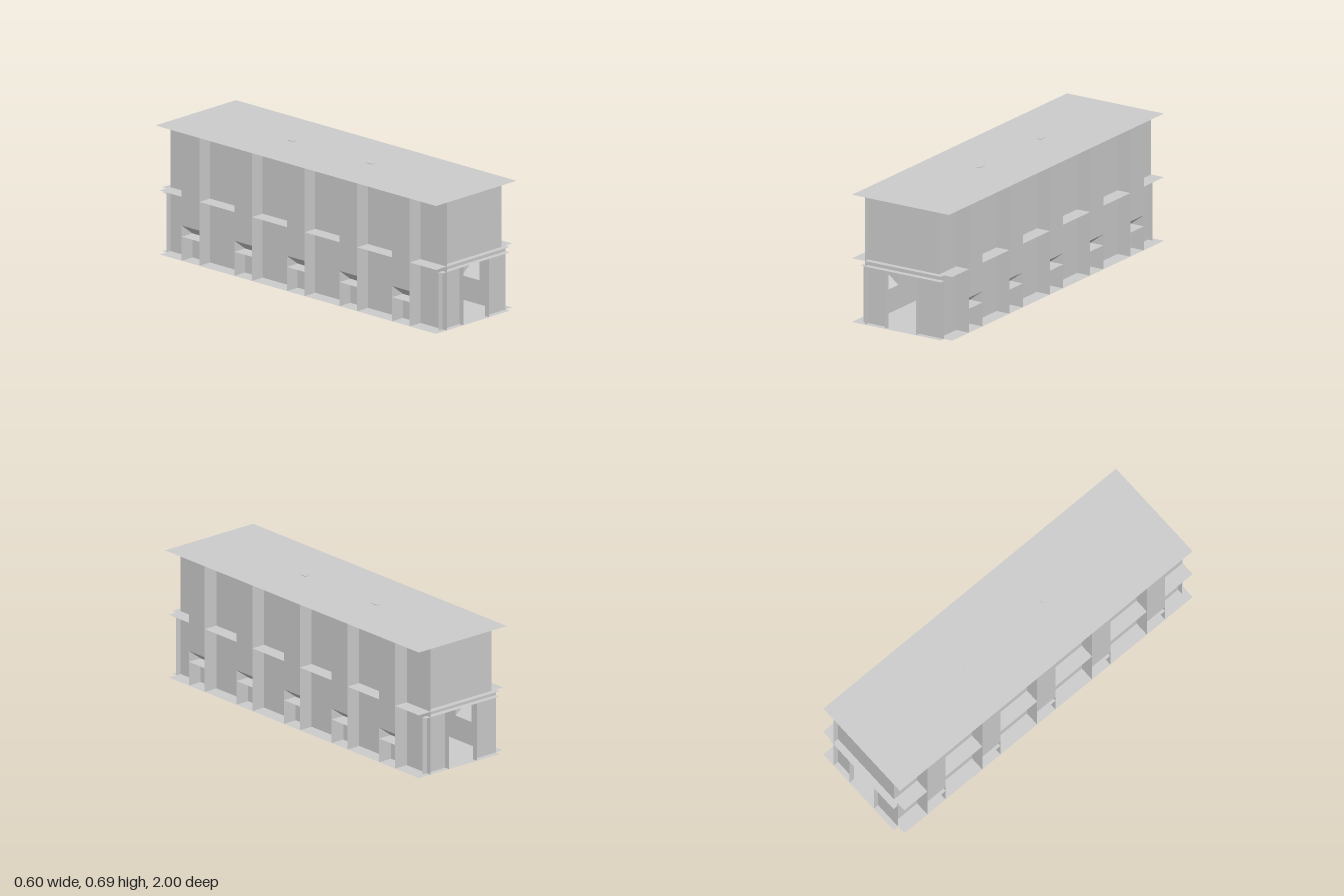
import * as THREE from 'three';

const mat = new THREE.MeshStandardMaterial({ color: 0xcccccc, side: THREE.DoubleSide, flatShading: true });
const ROOF = 0.69, MID = 0.345, LINTEL = 0.315;
const INNER = 0.22, OUTER = 0.3, END = 0.97;

function mesh(name, geometry) {
  const m = new THREE.Mesh(geometry, mat);
  m.name = name;
  return m;
}

// Thin wall facing +z, drawn as an outline in x and y
function wallZ(name, points, z) {
  const shape = new THREE.Shape(points.map(([x, y]) => new THREE.Vector2(x, y)));
  return mesh(name, new THREE.ShapeGeometry(shape).translate(0, 0, z));
}

// Thin wall facing +x between two z positions
function wallX(name, x, z0, z1, y0, y1) {
  const g = new THREE.PlaneGeometry(Math.abs(z1 - z0), y1 - y0);
  return mesh(name, g.rotateY(Math.PI / 2).translate(x, (y0 + y1) / 2, (z0 + z1) / 2));
}

// Thin horizontal plate, drawn as an outline in x and z
function plate(name, points, y) {
  const shape = new THREE.Shape(points.map(([x, z]) => new THREE.Vector2(x, -z)));
  return mesh(name, new THREE.ShapeGeometry(shape).rotateX(-Math.PI / 2).translate(0, y, 0));
}

const rect = (a0, b0, a1, b1) => [[a0, b0], [a1, b0], [a1, b1], [a0, b1]];

// One projecting bay, with a sloped foot over a low shelf
function createBay(zc) {
  const bay = new THREE.Group();
  bay.name = 'bay';
  const h = 0.0625, SHELF = 0.13, FOOT = 0.19;
  bay.add(wallX('bayFace', OUTER, -h, h, FOOT, ROOF));
  for (const z of [h, -h]) bay.add(wallZ('bayCheek', rect(INNER, 0, OUTER, ROOF), z));
  bay.add(plate('bayShelf', rect(INNER, h, OUTER, -h), SHELF));
  bay.add(wallX('bayBase', INNER, -h, h, 0, SHELF));
  const rise = FOOT - SHELF, run = OUTER - INNER;
  const slope = new THREE.PlaneGeometry(2 * h, Math.hypot(rise, run))
    .rotateY(Math.PI / 2)
    .rotateZ(-Math.atan2(run, rise))
    .translate((INNER + OUTER) / 2, (SHELF + FOOT) / 2, 0);
  bay.add(mesh('baySlope', slope));
  bay.position.z = zc;
  return bay;
}

// One long side and one end; a half turn gives the other pair
function createHalf(name) {
  const half = new THREE.Group();
  half.name = name;

  const bays = [0.75, 0.375, 0, -0.375, -0.75];
  let z = END;
  for (const zc of bays) {
    half.add(wallX('recessedWall', INNER, z, zc + 0.0625, 0, ROOF));
    half.add(createBay(zc));
    z = zc - 0.0625;
  }
  half.add(wallX('recessedWall', INNER, z, -1, 0, ROOF));

  // End wall: upper panel and lower panel with the passage
  half.add(wallZ('upperEndWall', rect(-INNER, MID, INNER, ROOF), END));
  half.add(wallZ('lowerEndWall', [
    [-0.25, 0], [-0.095, 0], [-0.095, LINTEL], [0.095, LINTEL],
    [0.095, 0], [0.25, 0], [0.25, MID], [-INNER, MID], [-INNER, LINTEL], [-0.25, LINTEL],
  ], END));
  for (const x of [-0.095, 0.095]) half.add(wallX('doorJamb', x, END, 1, 0, LINTEL));
  half.add(plate('lintelPlate', rect(-0.25, 1, 0.25, END), LINTEL));
  return half;
}

export function createModel() {
  const model = new THREE.Group();
  model.name = 'building';

  const front = createHalf('frontAndLeftWalls');
  const back = createHalf('backAndRightWalls');
  back.rotation.y = Math.PI;
  model.add(front, back);

  // Floors have a small notch at two opposite corners
  const floorOutline = [
    [-OUTER, 1], [0.25, 1], [0.25, END], [OUTER, END],
    [OUTER, -1], [-0.25, -1], [-0.25, -END], [-OUTER, -END],
  ];
  model.add(plate('groundFloor', floorOutline, 0));
  model.add(plate('upperFloor', floorOutline, MID));
  model.add(plate('roof', rect(-OUTER, 1, OUTER, -1), ROOF));

  // Small roof hatches
  for (const z of [0.25, -0.31]) {
    const hatch = mesh('roofHatch', new THREE.BoxGeometry(0.024, 0.004, 0.04));
    hatch.position.set(-0.002, ROOF + 0.001, z);
    model.add(hatch);
  }
  return model;
}
